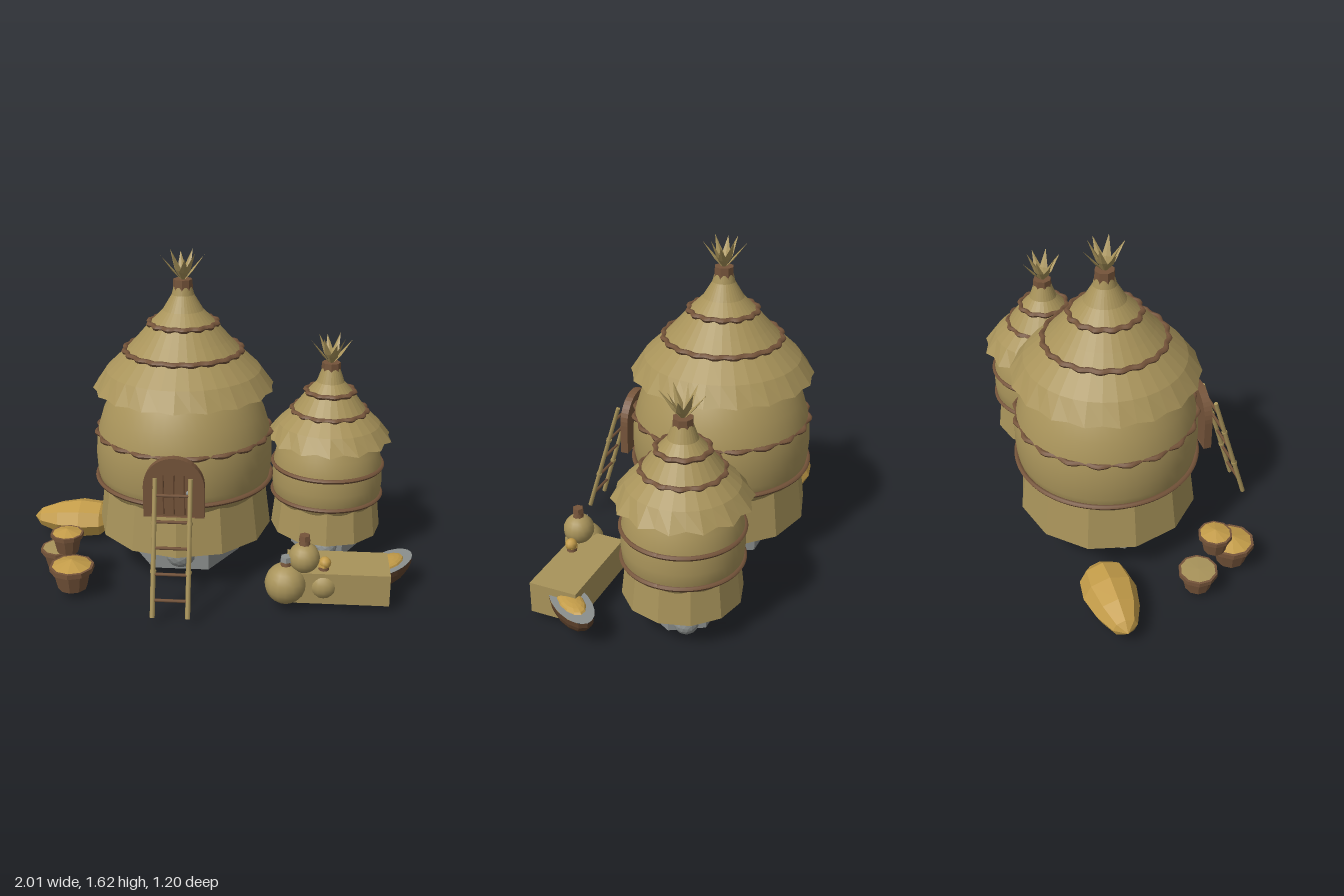
import * as THREE from 'three';

const mat = (name, color) => {
  const m = new THREE.MeshStandardMaterial({ color });
  m.name = name;
  return m;
};
const thatch = mat('thatch', 0xa8935a);
const bark = mat('bark brown', 0x75543a);
const darkWood = mat('dark wood', 0x5f422c);
const grain = mat('golden grain', 0xc39c49);
const stone = mat('stone grey', 0x8b8f8d);

const flat = (g) => {
  const n = g.index ? g.toNonIndexed() : g;
  n.computeVertexNormals();
  return n;
};

function add(parent, name, geometry, material, x = 0, y = 0, z = 0) {
  const m = new THREE.Mesh(geometry, material);
  m.name = name;
  m.position.set(x, y, z);
  parent.add(m);
  return m;
}

function group(parent, name, x = 0, y = 0, z = 0) {
  const g = new THREE.Group();
  g.name = name;
  g.position.set(x, y, z);
  parent.add(g);
  return g;
}

const lathe = (pts, seg) => new THREE.LatheGeometry(pts.map(([r, y]) => new THREE.Vector2(r, y)), seg);

// Horizontal rope ring, its radius waving around the axis
function ring(radius, tube, waves = 0, amp = 0) {
  const g = new THREE.TorusGeometry(radius, tube, 6, 96).rotateX(Math.PI / 2);
  const p = g.attributes.position;
  for (let i = 0; i < p.count; i++) {
    const x = p.getX(i), z = p.getZ(i);
    const k = 1 + (amp / radius) * Math.sin(waves * Math.atan2(z, x));
    p.setXYZ(i, x * k, p.getY(i), z * k);
  }
  g.computeVertexNormals();
  return g;
}

// Conical thatch whose eave corners alternate in and out
function roofGeometry(profile, seg, eaveY, amp) {
  const g = lathe(profile, seg);
  const p = g.attributes.position;
  for (let i = 0; i < p.count; i++) {
    if (Math.abs(p.getY(i) - eaveY) > 0.001) continue;
    const s = Math.round((Math.atan2(p.getX(i), p.getZ(i)) / (Math.PI * 2)) * seg) % 2 ? -1 : 1;
    const k = 1 + (s * amp) / Math.hypot(p.getX(i), p.getZ(i));
    p.setXYZ(i, p.getX(i) * k, eaveY - s * amp * 0.6, p.getZ(i) * k);
  }
  return flat(g);
}

function hut(root, name, o) {
  const h = group(root, name, o.x, 0, o.z);
  // Stone footing and boulders
  const footH = o.skirt[0] - 0.04;
  const foot = new THREE.CylinderGeometry(o.foot, o.foot, footH, 6).rotateY(Math.PI / 6);
  add(h, 'footing', flat(foot), stone, 0, 0.04 + footH / 2, 0);
  for (const [bx, bz] of o.boulders)
    add(h, 'boulder', flat(new THREE.IcosahedronGeometry(footH / 2, 2)), stone, bx, 0.04 + footH / 2, bz);
  // Skirt, wall and roof
  const [y0, y1, r0, r1] = o.skirt;
  add(h, 'skirt', flat(new THREE.CylinderGeometry(r1, r0, y1 - y0, 12)), thatch, 0, (y0 + y1) / 2, 0);
  add(h, 'wall', lathe(o.wall, 48), thatch);
  add(h, 'roof', roofGeometry(o.roof, o.seg, o.roof[1][1], o.jag), thatch);
  for (const [y, r, tube, waves, amp] of o.rings) add(h, 'ropeBand', ring(r, tube, waves, amp), bark, 0, y, 0);
  // Bound top with a tuft of leaves
  add(h, 'topBinding', flat(new THREE.CylinderGeometry(0.047, 0.05, 0.07, 8)), bark, 0, o.top - 0.035, 0);
  for (let i = 0; i < 8; i++) {
    const leaf = lathe([[0, 0], [0.022, 0.07], [0, 0.17]], 4).scale(1, 1, 0.25);
    leaf.rotateX(i % 2 ? 0.48 : 0.68);
    leaf.rotateY((i * Math.PI) / 4 + 0.2);
    add(h, 'tuftLeaf', flat(leaf), thatch, 0, o.top - 0.015, 0);
  }
}

// Tapered pot with rim and heaped filling
function pot(root, x, y, z, r, h, filling, heap) {
  const p = group(root, 'pot', x, y, z);
  add(p, 'potBody', flat(new THREE.CylinderGeometry(r * 0.9, r * 0.65, h, 10)), bark, 0, h / 2, 0);
  add(p, 'potRim', flat(new THREE.CylinderGeometry(r, r, h * 0.2, 10)), bark, 0, h * 0.9, 0);
  add(p, 'filling', flat(new THREE.ConeGeometry(r * 0.88, heap, 10)), filling, 0, h + heap / 2 + 0.001, 0);
}

// Round gourd with neck and stopper
function gourd(root, x, y, z, r, stopper) {
  const g = group(root, 'gourd', x, y, z);
  add(g, 'gourdBody', new THREE.SphereGeometry(r, 16, 12), thatch);
  add(g, 'gourdNeck', new THREE.CylinderGeometry(0.02, 0.03, 0.04, 8), bark, 0, r + 0.005, 0);
  add(g, 'stopper', flat(new THREE.CylinderGeometry(0.026, 0.03, 0.025, 6)), stopper, 0, r + 0.03, 0);
}

const archShape = (w, h, path = new THREE.Shape()) => {
  path.moveTo(-w, 0);
  path.lineTo(w, 0);
  path.lineTo(w, h - w);
  path.absarc(0, h - w, w, 0, Math.PI, false);
  path.lineTo(-w, 0);
  return path;
};
const extrude = (shape, depth) =>
  new THREE.ExtrudeGeometry(shape, { depth, bevelEnabled: false, curveSegments: 10 });

export function createModel() {
  const root = new THREE.Group();
  root.name = 'thatchedGranaries';

  hut(root, 'largeHut', {
    x: -0.15, z: -0.14, foot: 0.285, seg: 36, jag: 0.006, top: 1.485,
    boulders: [[0, 0.215], [0, -0.215], [0.225, 0], [-0.225, 0]],
    skirt: [0.205, 0.48, 0.445, 0.41],
    wall: [[0.35, 0.36], [0.395, 0.41], [0.43, 0.46], [0.442, 0.52], [0.447, 0.6], [0.443, 0.67],
      [0.432, 0.74], [0.405, 0.83], [0.365, 0.91], [0.32, 0.98]],
    roof: [[0.33, 0.965], [0.447, 0.95], [0.385, 1.04], [0.285, 1.135], [0.23, 1.195], [0.165, 1.27],
      [0.1, 1.335], [0.055, 1.41], [0.045, 1.45]],
    rings: [[0.48, 0.444, 0.012], [0.72, 0.433, 0.013, 20, 0.01],
      [1.135, 0.288, 0.014, 20, 0.006], [1.27, 0.165, 0.014, 14, 0.006]],
  });
  hut(root, 'smallHut', {
    x: 0.585, z: -0.245, foot: 0.175, seg: 28, jag: 0.01, top: 1.05,
    boulders: [[0, 0.16], [0.15, -0.08], [-0.15, -0.08]],
    skirt: [0.16, 0.36, 0.285, 0.262],
    wall: [[0.22, 0.27], [0.255, 0.31], [0.278, 0.36], [0.285, 0.43], [0.28, 0.52], [0.262, 0.6], [0.225, 0.68]],
    roof: [[0.22, 0.675], [0.315, 0.66], [0.26, 0.735], [0.19, 0.8], [0.12, 0.895], [0.07, 0.95], [0.045, 1.02]],
    rings: [[0.355, 0.28, 0.012], [0.515, 0.281, 0.012],
      [0.8, 0.187, 0.013, 14, 0.006], [0.9, 0.12, 0.013, 10, 0.005]],
  });

  // Arched door with frame, planks and knob
  const door = group(root, 'door', -0.15, 0.45, 0.32);
  const frame = archShape(0.145, 0.3);
  frame.holes.push(archShape(0.1, 0.255, new THREE.Path()));
  add(door, 'doorFrame', extrude(frame, 0.04), bark);
  add(door, 'doorPanel', extrude(archShape(0.102, 0.257), 0.02), bark, 0, 0, 0.005);
  for (const x of [-0.05, 0, 0.05])
    add(door, 'plankGap', new THREE.BoxGeometry(0.006, 0.2, 0.006), darkWood, x, 0.11, 0.026);
  add(door, 'doorKnob', new THREE.SphereGeometry(0.013, 8, 6), stone, 0.07, 0.125, 0.035);

  // Leaning ladder
  const ladder = group(root, 'ladder', -0.148, 0.355, 0.495);
  ladder.rotation.x = -Math.atan2(0.19, 0.63);
  for (const s of [-1, 1]) {
    add(ladder, 'ladderPole', new THREE.CylinderGeometry(0.011, 0.012, 0.655, 8), thatch, s * 0.083, 0, 0);
    for (const y of [-0.11, 0.12])
      add(ladder, 'poleKnot', new THREE.CylinderGeometry(0.015, 0.015, 0.014, 8), thatch, s * 0.083, y, 0);
  }
  for (let i = 0; i < 5; i++)
    add(ladder, 'rung', new THREE.CylinderGeometry(0.008, 0.008, 0.18, 6).rotateZ(Math.PI / 2),
      bark, 0, -0.245 + i * 0.123, 0);

  // Grain sack lying on its side
  const sack = lathe([[0, 0], [0.06, 0.04], [0.105, 0.14], [0.13, 0.26], [0.115, 0.37], [0.07, 0.415], [0, 0.43]], 8);
  sack.rotateZ(-Math.PI / 2).scale(1, 0.78, 1);
  add(root, 'grainSack', flat(sack), grain, -1, 0.102, -0.32);

  // Pots
  pot(root, -0.66, 0.04, 0.33, 0.11, 0.12, grain, 0.03);
  pot(root, -0.70, 0.18, 0.22, 0.082, 0.1, grain, 0.02);
  pot(root, -0.77, 0.035, 0.11, 0.095, 0.105, thatch, 0.004);

  // Storage block and gourds
  add(root, 'storageBlock', new THREE.BoxGeometry(0.49, 0.16, 0.24), thatch, 0.635, 0.12, 0.28);
  gourd(root, 0.385, 0.135, 0.38, 0.1, stone);
  gourd(root, 0.47, 0.265, 0.36, 0.075, bark);
  gourd(root, 0.565, 0.125, 0.35, 0.075, grain);
  add(root, 'grainCap', new THREE.SphereGeometry(0.03, 10, 6), grain, 0.57, 0.235, 0.35);

  // Long shallow bowl with grain
  const bowl = group(root, 'bowl', 0.885, 0.16, 0.18);
  bowl.rotation.y = Math.atan2(0.3, 0.23);
  const hull = new THREE.SphereGeometry(1, 14, 6, 0, Math.PI * 2, Math.PI / 2, Math.PI / 2);
  add(bowl, 'bowlShell', flat(hull.scale(0.18, 0.11, 0.085)), darkWood);
  add(bowl, 'bowlInside', new THREE.CircleGeometry(1, 20).rotateX(-Math.PI / 2).scale(0.178, 1, 0.083), stone);
  const heap = new THREE.SphereGeometry(1, 12, 4, 0, Math.PI * 2, 0, Math.PI / 2);
  add(bowl, 'bowlGrain', flat(heap.scale(0.11, 0.02, 0.055)), grain, 0, 0.001, 0);

  return root;
}
